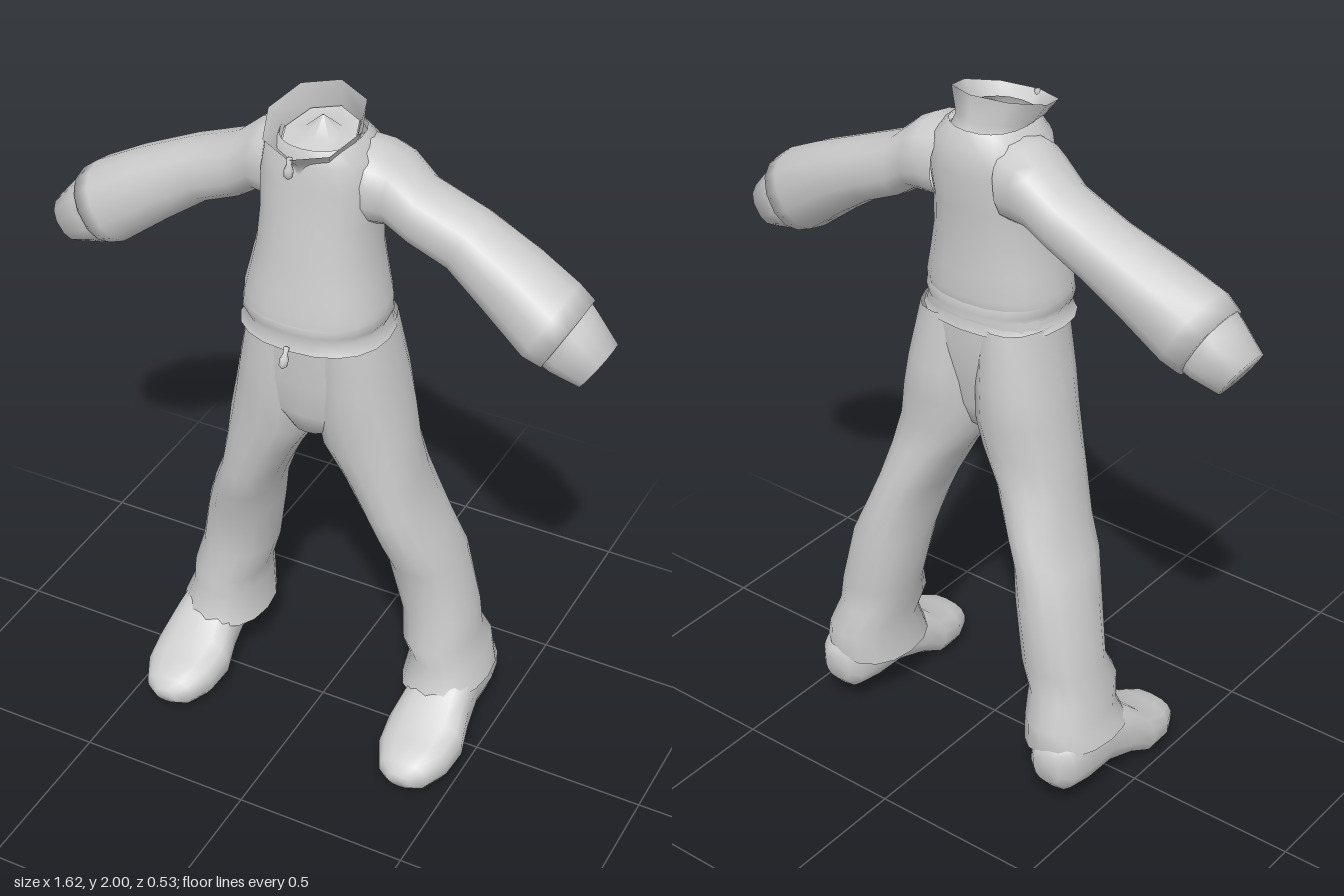
import * as THREE from 'three';

const V = (x, y, z) => new THREE.Vector3(x, y, z);
const material = new THREE.MeshStandardMaterial({ color: 0xcccccc, side: THREE.DoubleSide });

// A ring is an ellipse: centre c and two half axes u, v; p < 1 makes it squarer.
const ring = (a, b, v, p = 1) => ({
  c: a.clone().add(b).multiplyScalar(0.5),
  u: a.clone().sub(b).multiplyScalar(0.5), v, p,
});

// Level ring from x limits (with their heights) and z limits
const level = (x1, y1, x2, y2, z1, z2, p) => {
  const r = ring(V(x1, y1, (z1 + z2) / 2), V(x2, y2, (z1 + z2) / 2), V(0, 0, (z2 - z1) / 2), p);
  return r;
};

// Smooth skin through a row of rings, optionally closed at its ends
function loft(name, rings, { n = 14, capStart = false, capEnd = false } = {}) {
  const pos = [], idx = [];
  const soft = (t, p) => Math.sign(t) * Math.pow(Math.abs(t), p);
  for (const { c, u, v, p } of rings) {
    for (let i = 0; i < n; i++) {
      const t = (i / n) * Math.PI * 2;
      const q = c.clone().addScaledVector(u, soft(Math.cos(t), p)).addScaledVector(v, soft(Math.sin(t), p));
      pos.push(q.x, q.y, q.z);
    }
  }
  const first = rings[0], last = rings[rings.length - 1];
  const outward = first.u.clone().cross(first.v).dot(last.c.clone().sub(first.c)) > 0;
  const tri = (a, b, c) => (outward ? idx.push(a, b, c) : idx.push(a, c, b));
  for (let k = 0; k < rings.length - 1; k++) {
    for (let i = 0; i < n; i++) {
      const j = (i + 1) % n, a = k * n + i, b = k * n + j;
      tri(a, b, b + n);
      tri(a, b + n, a + n);
    }
  }
  const cap = (k, end) => {
    const m = pos.length / 3, { c } = rings[k];
    pos.push(c.x, c.y, c.z);
    for (let i = 0; i < n; i++) {
      const a = k * n + i, b = k * n + ((i + 1) % n);
      end ? tri(a, b, m) : tri(b, a, m);
    }
  };
  if (capStart) cap(0, false);
  if (capEnd) cap(rings.length - 1, true);
  const g = new THREE.BufferGeometry();
  g.setAttribute('position', new THREE.Float32BufferAttribute(pos, 3));
  g.setIndex(idx);
  g.computeVertexNormals();
  const mesh = new THREE.Mesh(g, material);
  mesh.name = name;
  return mesh;
}

// Symmetric body part: rows of [y, half width, back z, front z]
const body = (name, rows, opts) =>
  loft(name, rows.map(([y, w, z1, z2]) => level(w, y, -w, y, z1, z2, 0.88)), { n: 20, ...opts });

// Small teardrop zip pull hanging from a point
function zipPull(name, y, z, tilt) {
  const profile = [[0, 0], [0.008, -0.003], [0.007, -0.02], [0.013, -0.035], [0.012, -0.052], [0, -0.062]];
  const g = new THREE.LatheGeometry(profile.map(([r, h]) => new THREE.Vector2(r, h)).reverse(), 8);
  const mesh = new THREE.Mesh(g, material);
  mesh.name = name;
  mesh.position.set(0, y, z);
  mesh.rotation.x = tilt;
  return mesh;
}

// Sleeve rows: top x, y, underside x, y, back z, front z
const sleeveRows = [
  [0.09, 1.9, 0.11, 1.67, -0.14, 0.08],
  [0.16, 1.89, 0.15, 1.675, -0.15, 0.075],
  [0.2, 1.87, 0.19, 1.675, -0.15, 0.06],
  [0.27, 1.81, 0.25, 1.635, -0.14, 0.05],
  [0.42, 1.75, 0.35, 1.59, -0.145, 0.045],
  [0.58, 1.68, 0.45, 1.52, -0.14, 0.075],
  [0.69, 1.625, 0.58, 1.42, -0.13, 0.1],
  [0.735, 1.59, 0.63, 1.4, -0.12, 0.09],
];
const cuffRows = [
  [0.73, 1.585, 0.63, 1.405, -0.1, 0.08],
  [0.75, 1.56, 0.655, 1.395, -0.1, 0.08],
  [0.81, 1.49, 0.735, 1.375, -0.08, 0.065],
];

// Trouser leg rows: outer x, y, inner x, y, back z, front z
const legRows = [
  [0.195, 1.37, 0.0, 1.37, -0.14, 0.14],
  [0.232, 1.2, -0.005, 1.2, -0.16, 0.137],
  [0.25, 1.11, -0.005, 1.09, -0.162, 0.13],
  [0.272, 1.0, 0.01, 1.0, -0.147, 0.12],
  [0.29, 0.9, 0.075, 0.9, -0.16, 0.11],
  [0.31, 0.8, 0.135, 0.78, -0.19, 0.1],
  [0.35, 0.7, 0.165, 0.7, -0.2, 0.085],
  [0.39, 0.6, 0.185, 0.6, -0.218, 0.045],
  [0.43, 0.42, 0.215, 0.42, -0.225, 0.012],
  [0.445, 0.34, 0.235, 0.34, -0.225, 0.05],
  [0.46, 0.27, 0.25, 0.27, -0.262, 0.03],
  [0.485, 0.2, 0.235, 0.17, -0.255, 0.065],
];

// Shoe rows: z, bottom y, top y, half width
const shoeRows = [
  [0.27, 0.03, 0.07, 0.035], [0.245, 0.012, 0.1, 0.075], [0.18, 0.004, 0.13, 0.108],
  [0.1, 0.008, 0.16, 0.118], [0.03, 0.035, 0.225, 0.103], [-0.06, 0.055, 0.27, 0.09],
  [-0.16, 0.058, 0.27, 0.09], [-0.23, 0.068, 0.23, 0.075], [-0.258, 0.1, 0.2, 0.045],
];

function side(s, label) {
  const group = new THREE.Group();
  group.name = label + 'Limbs';
  const rows = (list, p) => list.map(([x1, y1, x2, y2, z1, z2]) => level(s * x1, y1, s * x2, y2, z1, z2, p));
  group.add(
    loft(label + 'Sleeve', rows(sleeveRows, 0.9), { capEnd: true }),
    loft(label + 'Cuff', rows(cuffRows, 0.85), { capEnd: true }),
    loft(label + 'TrouserLeg', rows(legRows, 0.9), { n: 16 }),
    loft(label + 'Shoe', shoeRows.map(([z, y1, y2, w]) =>
      ring(V(s * 0.38, y2, z), V(s * 0.38, y1, z), V(w, 0, 0), 0.8)), { capStart: true, capEnd: true }),
  );
  return group;
}

export function createModel() {
  const model = new THREE.Group();
  model.name = 'clothedFigure';

  // Jacket with a gathered waist and flared hem
  model.add(body('jacket', [
    [1.43, 0.198, -0.14, 0.195], [1.455, 0.197, -0.143, 0.192], [1.52, 0.182, -0.14, 0.18],
    [1.6, 0.165, -0.138, 0.165], [1.7, 0.158, -0.143, 0.152], [1.8, 0.165, -0.155, 0.135],
    [1.87, 0.15, -0.145, 0.132], [1.91, 0.105, -0.12, 0.115],
  ]));
  model.add(body('jacketHem', [
    [1.355, 0.208, -0.15, 0.2], [1.385, 0.187, -0.14, 0.188], [1.41, 0.2, -0.146, 0.2], [1.432, 0.198, -0.14, 0.195],
  ]));

  // Trouser seat, shallow at the back so the legs form a crease
  model.add(body('trouserSeat', [
    [1.4, 0.185, -0.14, 0.145], [1.3, 0.205, -0.142, 0.14], [1.2, 0.215, -0.128, 0.135],
    [1.1, 0.18, -0.11, 0.125], [1.03, 0.07, -0.08, 0.1],
  ], { capEnd: true }));

  // Stand-up collar, lower at the front, with the neck closed inside it
  const tilted = (zb, yb, zf, yf, w) => ring(V(0, yf, zf), V(0, yb, zb), V(w, 0, 0));
  model.add(loft('collar', [
    tilted(-0.125, 1.89, 0.135, 1.85, 0.115),
    tilted(-0.105, 1.93, 0.14, 1.875, 0.1),
    tilted(-0.1, 2.0, 0.188, 1.915, 0.132),
  ], { n: 8 }));
  model.add(loft('neckLining', [
    tilted(-0.1, 1.925, 0.135, 1.875, 0.098),
    tilted(-0.05, 1.91, 0.05, 1.9, 0.05),
    tilted(-0.002, 1.95, 0.002, 1.95, 0.002),
  ], { n: 8 }));

  // Zip pulls at the collar and the waist
  model.add(zipPull('collarZipPull', 1.92, 0.178, -0.15), zipPull('waistZipPull', 1.372, 0.202, -0.45));

  model.add(side(1, 'left'), side(-1, 'right'));
  return model;
}
